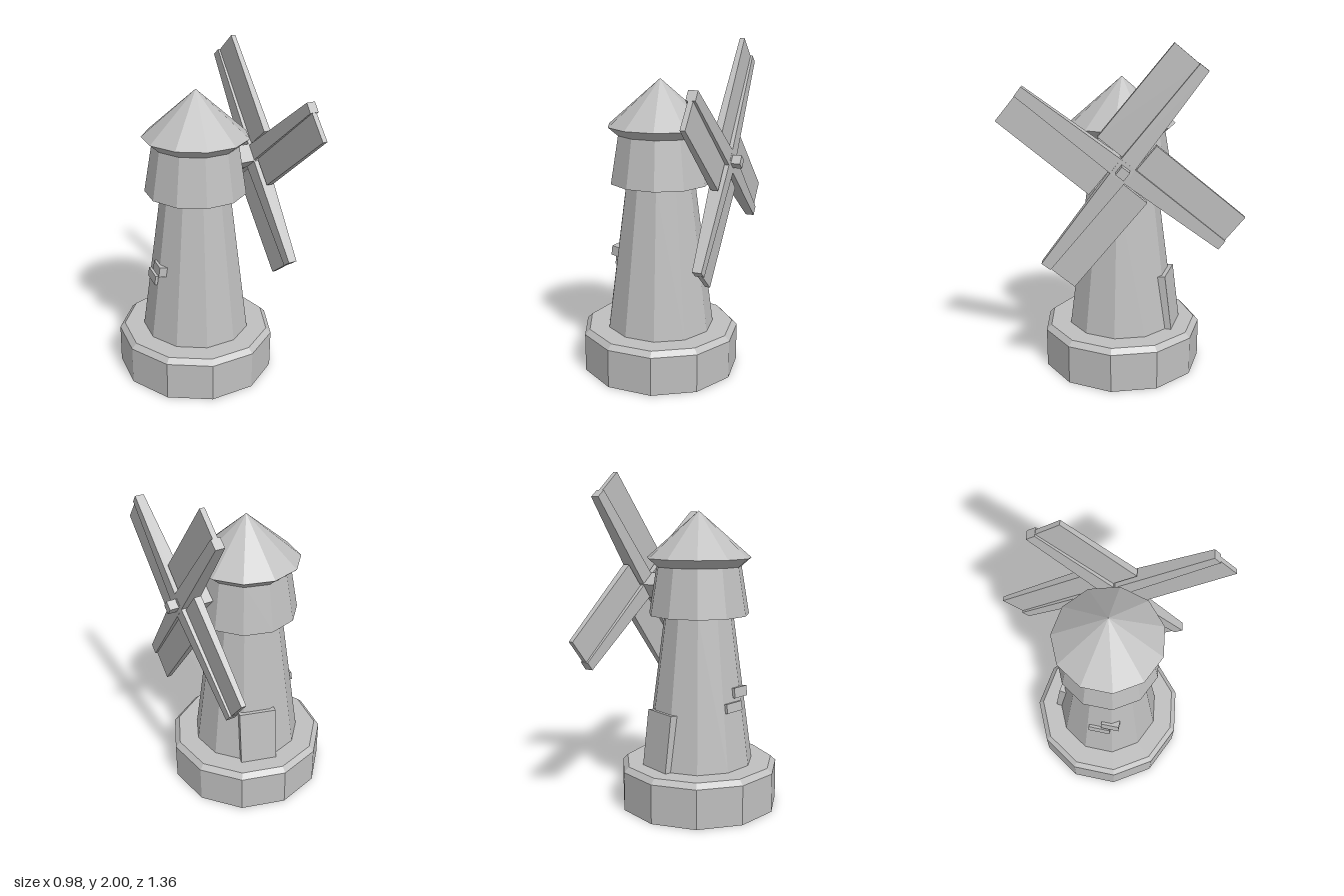
import * as THREE from 'three';

const SIDES = 11;
const CENTER_X = -0.016;
const WALL_LEAN = 0.128;
const SAIL_TILT = THREE.MathUtils.degToRad(-37.8);

export function createModel() {
  const model = new THREE.Group();
  model.name = 'windmill';
  const stone = new THREE.MeshStandardMaterial({ color: 0xbfbfbf, flatShading: true });
  stone.name = 'light grey';

  const add = (parent, name, geometry) => {
    const mesh = new THREE.Mesh(geometry, stone);
    mesh.name = name;
    parent.add(mesh);
    return mesh;
  };

  // Eleven-sided turned part with one corner pointing straight back
  const turned = (name, profile) => {
    const points = profile.map(([r, y]) => new THREE.Vector2(r, y));
    add(model, name, new THREE.LatheGeometry(points, SIDES, Math.PI)).position.x = CENTER_X;
  };

  // Box whose top end is scaled in thickness (x) and width (z)
  const taperedBox = (w, h, d, sx = 1, sz = 1) => {
    const geometry = new THREE.BoxGeometry(w, h, d);
    const p = geometry.attributes.position;
    for (let i = 0; i < p.count; i++) {
      if (p.getY(i) > 0) p.setXYZ(i, p.getX(i) * sx, p.getY(i), p.getZ(i) * sz);
    }
    geometry.computeVertexNormals();
    return geometry;
  };

  // Tower
  turned('base', [[0, 0], [0.483, 0], [0.483, 0.235], [0.452, 0.265], [0, 0.265]]);
  turned('towerBody', [[0, 0.26], [0.33, 0.26], [0.209, 1.17], [0, 1.17]]);
  turned('upperGallery', [[0, 1.165], [0.305, 1.165], [0.256, 1.46], [0, 1.46]]);
  turned('roof', [[0, 1.45], [0.258, 1.45], [0.317, 1.5], [0, 1.775]]);

  // Plates leaning with the tower wall; angle turns from straight back toward -x
  const wallPlate = (name, degrees, width, height, y, outer, shift = 0) => {
    const mount = new THREE.Group();
    mount.name = name + 'Mount';
    mount.position.set(CENTER_X, y, 0);
    mount.rotation.y = Math.PI + THREE.MathUtils.degToRad(degrees);
    const depth = 0.07;
    const plate = add(mount, name, new THREE.BoxGeometry(width, height, depth));
    plate.position.set(shift, 0, outer - depth / 2);
    plate.rotation.x = -WALL_LEAN;
    model.add(mount);
  };
  wallPlate('door', -180 / SIDES, 0.222, 0.34, 0.43, 0.321);
  wallPlate('lowerLedge', 900 / SIDES, 0.135, 0.055, 0.633, 0.286);
  wallPlate('upperLedge', 900 / SIDES, 0.112, 0.06, 0.713, 0.276, 0.067);

  // Sail wheel on the +x side
  const wheel = new THREE.Group();
  wheel.name = 'sailWheel';
  wheel.position.set(0.39, 1.318, 0);
  wheel.rotation.x = SAIL_TILT;
  model.add(wheel);

  add(wheel, 'axle', new THREE.BoxGeometry(0.28, 0.11, 0.11)).position.x = -0.14;
  add(wheel, 'axleTip', new THREE.BoxGeometry(0.2, 0.056, 0.056)).position.x = 0;

  for (let i = 0; i < 4; i++) {
    const arm = new THREE.Group();
    arm.name = 'sailArm' + (i + 1);
    arm.rotation.x = (i * Math.PI) / 2;
    wheel.add(arm);
    add(arm, 'boom', taperedBox(0.094, 0.7, 0.1, 0.57, 0.62)).position.y = 0.35;
    const board = add(arm, 'sailBoard', taperedBox(0.044, 0.64, 0.18, 0.65));
    board.position.set(0, 0.38, 0.121);
    board.rotation.x = -0.027;
  }
  return model;
}
